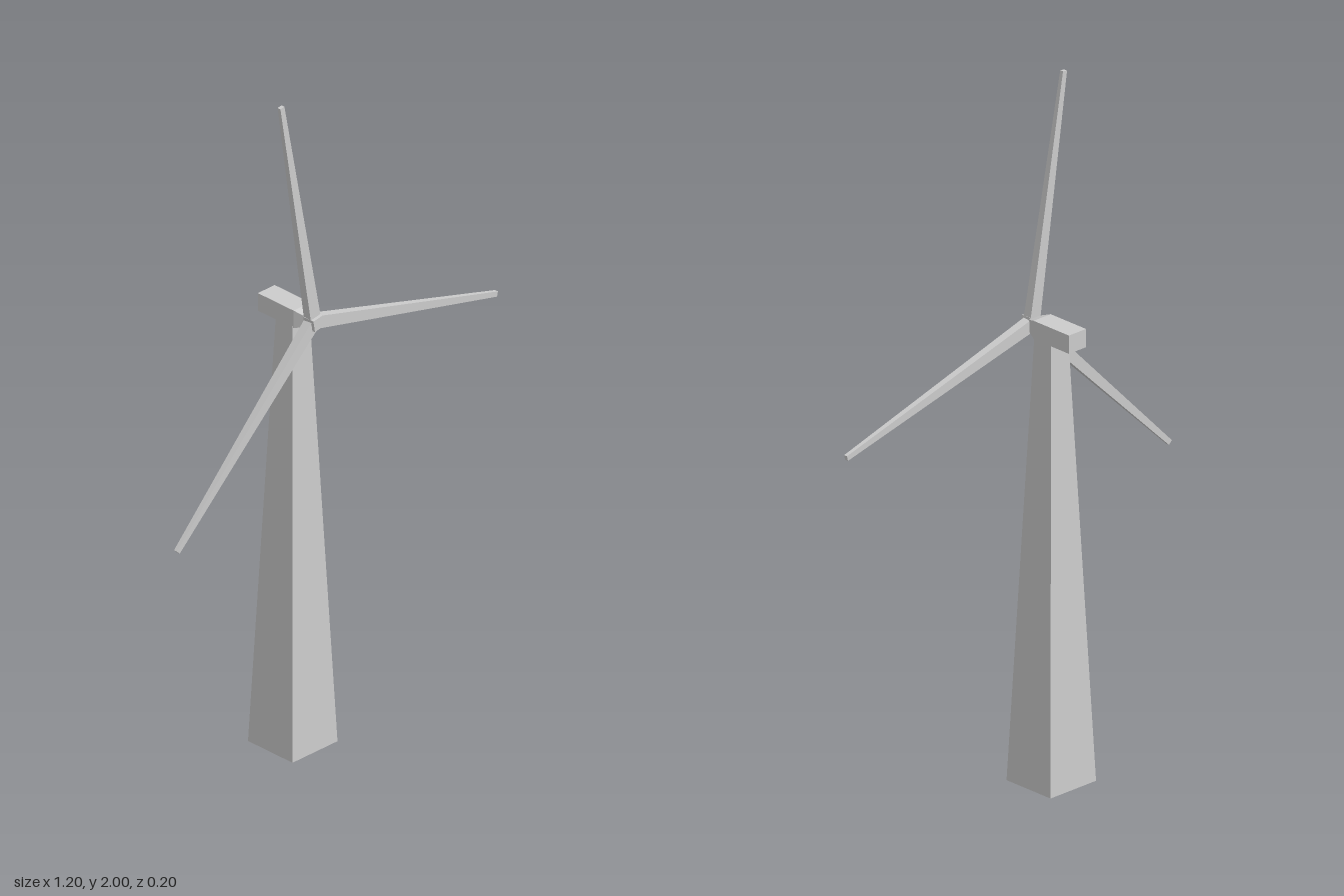
import * as THREE from 'three';

const material = new THREE.MeshStandardMaterial({ color: 0xcccccc, flatShading: true, side: THREE.DoubleSide });
const AXIS_X = -0.086, HUB_Y = 1.305, BLADE_Z = 0.076;

// Four-sided tapered prism standing on y = 0, with square ends of the given widths
function frustum(bottom, top, height, open = false) {
  return new THREE.CylinderGeometry(top * Math.SQRT1_2, bottom * Math.SQRT1_2, height, 4, 1, open)
    .rotateY(Math.PI / 4)
    .translate(0, height / 2, 0);
}

function add(group, name, geometry, x, y, z) {
  const mesh = new THREE.Mesh(geometry, material);
  mesh.name = name;
  mesh.position.set(x, y, z);
  group.add(mesh);
  return mesh;
}

export function createModel() {
  const group = new THREE.Group();
  group.name = 'windTurbine';

  // Hollow tower, open underneath
  add(group, 'tower', frustum(0.168, 0.064, 1.285, true), AXIS_X, 0, 0);

  // Nacelle: straight rear box and a nose that narrows toward the hub
  add(group, 'nacelle', new THREE.BoxGeometry(0.063, 0.053, 0.135), AXIS_X, 1.306, -0.0325);
  const nose = frustum(1, 0.62, 0.03).rotateX(Math.PI / 2).scale(0.063, 0.053, 1);
  add(group, 'nacelleNose', nose, AXIS_X, 1.306, 0.035);

  // Rotor hub
  const hub = frustum(0.04, 0.034, 0.035).rotateX(Math.PI / 2);
  add(group, 'hub', hub, AXIS_X, HUB_Y, 0.063).rotation.z = 0.17;

  // Tapered blades, each reaching from the hub to its tip
  const tips = [[-0.205, 2], [0.598, 1.122], [-0.594, 0.802]];
  for (const [tipX, tipY] of tips) {
    const dx = tipX - AXIS_X, dy = tipY - HUB_Y;
    const blade = frustum(0.037, 0.015, Math.hypot(dx, dy)).scale(1, 1, 0.72);
    add(group, 'blade', blade, AXIS_X, HUB_Y, BLADE_Z).rotation.z = Math.atan2(-dx, dy);
  }
  return group;
}
